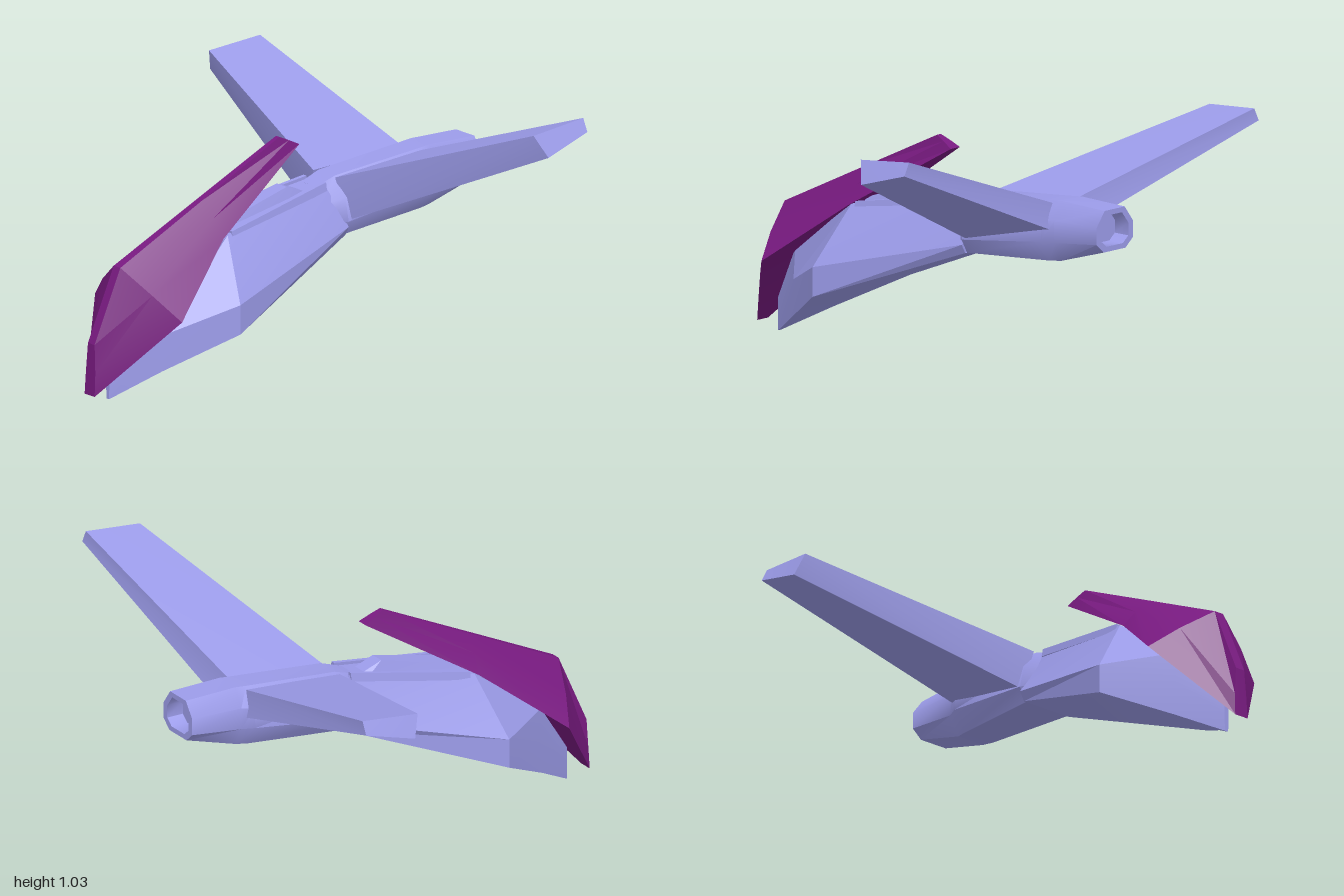
import * as THREE from 'three';
import { toCreasedNormals } from 'three/addons/utils/BufferGeometryUtils.js';

const CX = 0.02; // centreline of body and canopy
const shell = new THREE.MeshStandardMaterial({ color: 0x9c9cea });
const glass = new THREE.MeshStandardMaterial({ color: 0x781a80 });

// Skin a row of closed rings and cap both ends; turned outward by its signed volume.
function loft(name, rings, material, crease = 0.5) {
  const n = rings[0].length, tris = [];
  const quad = (a, b, c, d) => tris.push([a, b, c], [a, c, d]);
  for (let i = 0; i < rings.length - 1; i++)
    for (let j = 0; j < n; j++) {
      const k = (j + 1) % n;
      quad(rings[i][j], rings[i][k], rings[i + 1][k], rings[i + 1][j]);
    }
  const cap = (ring, flip) => {
    const mid = [0, 1, 2].map(c => ring.reduce((s, p) => s + p[c], 0) / n);
    ring.forEach((p, j) => {
      const q = ring[(j + 1) % n];
      tris.push(flip ? [mid, q, p] : [mid, p, q]);
    });
  };
  cap(rings[0], true);
  cap(rings[rings.length - 1], false);
  const v = p => new THREE.Vector3(...p);
  const volume = tris.reduce((s, [a, b, c]) => s + v(a).dot(v(b).cross(v(c))), 0);
  if (volume < 0) tris.forEach(t => t.reverse());
  const g = new THREE.BufferGeometry();
  g.setAttribute('position', new THREE.Float32BufferAttribute(tris.flat(2), 3));
  const mesh = new THREE.Mesh(toCreasedNormals(g, crease), material);
  mesh.name = name;
  return mesh;
}

// Full ring from a half profile of [offset, y, z], mirrored about the centreline.
const mirrorRing = half => [
  ...half.map(([x, y, z]) => [CX + x, y, z]),
  ...[...half].reverse().map(([x, y, z]) => [CX - x, y, z]),
];
const atZ = (z, half) => mirrorRing(half.map(([x, y]) => [x, y, z]));

export function createModel() {
  const group = new THREE.Group();

  // Kite-shaped front hull: keel corner, chine, deck edge
  group.add(loft('frontHull', [
    [[0.008, 0, 0.825], [0.01, 0.07, 0.825], [0.008, 0.13, 0.825]],
    [[0.11, 0.1, 0.65], [0.11, 0.24, 0.65], [0.1, 0.36, 0.65]],
    [[0.27, 0.235, 0.4], [0.27, 0.35, 0.4], [0.12, 0.58, 0.34]],
    [[0.11, 0.475, -0.24], [0.13, 0.51, -0.24], [0.06, 0.67, -0.18]],
  ].map(mirrorRing), shell, 0.2));

  // Low spine on the deck under the canopy tail
  group.add(loft('deckSpine', [
    [[0.07, 0.55, 0.33], [0.05, 0.6, 0.33]],
    [[0.05, 0.62, -0.02], [0.03, 0.685, -0.02]],
    [[0.05, 0.63, -0.1], [0.03, 0.655, -0.1]],
  ].map(mirrorRing), shell, 0.2));

  // Rails along the deck edges
  for (const s of [1, -1]) {
    const end = (x, y, z) => [[-0.012, -0.02], [0.012, -0.02], [0.006, 0.012], [-0.012, 0.012]]
      .map(([dx, dy]) => [CX + s * (x + dx), y + dy, z]);
    group.add(loft('deckRail', [end(0.115, 0.58, 0.32), end(0.062, 0.67, -0.18)], shell, 0.2));
  }

  // Rear body, arched above and tapered to a recessed exhaust
  group.add(loft('rearBody', [
    atZ(-0.15, [[0.05, 0.48], [0.08, 0.53], [0.075, 0.6], [0.045, 0.665]]),
    atZ(-0.24, [[0.1, 0.475], [0.13, 0.53], [0.11, 0.62], [0.05, 0.695]]),
    atZ(-0.64, [[0.07, 0.5], [0.12, 0.58], [0.115, 0.66], [0.055, 0.73]]),
    atZ(-0.69, [[0.06, 0.505], [0.1, 0.58], [0.1, 0.665], [0.055, 0.735]]),
    atZ(-0.91, [[0.06, 0.57], [0.1, 0.605], [0.1, 0.67], [0.055, 0.73]]),
    atZ(-0.91, [[0.045, 0.59], [0.075, 0.615], [0.075, 0.665], [0.04, 0.71]]),
    atZ(-0.84, [[0.045, 0.59], [0.075, 0.615], [0.075, 0.665], [0.04, 0.71]]),
  ], shell, 0.7));

  // Swept wings, left one raised more; corners run lower nose, upper nose, upper tail, lower tail
  const wing = (name, s, root, tip) => {
    const place = ring => ring.map(([x, y, z]) => [s * x, y, z]);
    group.add(loft(name, [place(root), place(tip)], shell));
  };
  wing('leftWing', 1,
    [[0.13, 0.53, -0.25], [0.08, 0.69, -0.23], [0.06, 0.715, -0.645], [0.1, 0.62, -0.67]],
    [[1.0, 0.92, -0.52], [0.96, 1.005, -0.48], [0.955, 1.03, -0.725], [0.98, 0.98, -0.725]]);
  wing('rightWing', -1,
    [[0.09, 0.53, -0.25], [0.05, 0.69, -0.23], [0.03, 0.715, -0.645], [0.07, 0.62, -0.67]],
    [[1.0, 0.825, -0.5], [0.97, 0.91, -0.47], [0.96, 0.93, -0.71], [0.985, 0.88, -0.71]]);

  // Faceted canopy: ridge, cheek, lower edge
  group.add(loft('canopy', [
    [[0.02, 0.23, 0.905], [0.028, 0.12, 0.908], [0.03, 0.03, 0.913]],
    [[0.02, 0.51, 0.78], [0.15, 0.42, 0.73], [0.26, 0.33, 0.675]],
    [[0.015, 0.7, 0.38], [0.07, 0.64, 0.37], [0.12, 0.57, 0.36]],
    [[0.01, 0.88, 0], [0.018, 0.862, -0.04], [0.025, 0.84, -0.085]],
  ].map(mirrorRing), glass, 0.3));

  return group;
}
